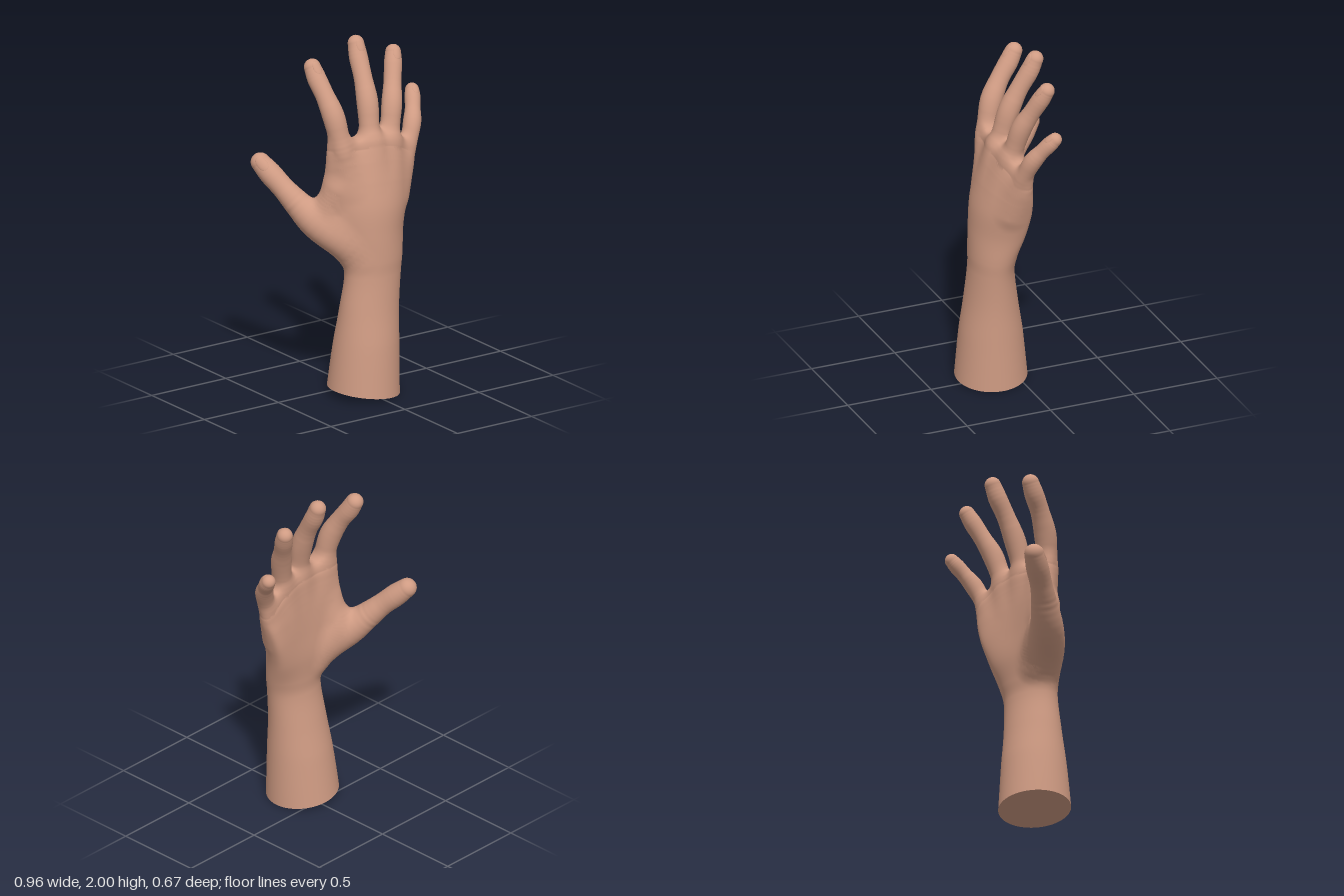
import * as THREE from 'three';

const V = (x, y, z) => new THREE.Vector3(x, y, z);
const { lerp, clamp, smoothstep } = THREE.MathUtils;
const skin = new THREE.MeshStandardMaterial({ color: 0xcf9b83 });
skin.name = 'skin';
const BLEND = 0.07;

// Forearm and palm rows: [y, x min, x max, z palm side, z back side, arch]
const ARM = [
  [0.00, -0.220, 0.180, -0.070, 0.335, 0],
  [0.30, -0.190, 0.180, -0.035, 0.315, 0],
  [0.50, -0.165, 0.183, 0.000, 0.292, 0],
  [0.70, -0.142, 0.200, 0.033, 0.277, 0.005],
  [0.80, -0.152, 0.220, 0.030, 0.277, 0.02],
  [0.95, -0.195, 0.255, 0.018, 0.272, 0.06],
  [1.10, -0.220, 0.298, 0.022, 0.262, 0.08],
  [1.25, -0.222, 0.325, 0.028, 0.230, 0.07],
  [1.36, -0.212, 0.335, 0.038, 0.196, 0.05],
  [1.43, -0.195, 0.330, 0.050, 0.168, 0.04],
  [1.465, -0.150, 0.285, 0.085, 0.143, 0.03],
  [1.475, 0.060, 0.062, 0.113, 0.115, 0],
];

// Smooth stack of cross-sections through the rows
const armA = new THREE.CatmullRomCurve3(ARM.map(r => V(r[0], r[1], r[2])));
const armB = new THREE.CatmullRomCurve3(ARM.map(r => V(r[3], r[4], r[5])), false, 'catmullrom');
const sections = Array.from({ length: 78 }, (_, i) => {
  const a = armA.getPoint(i / 77), b = armB.getPoint(i / 77);
  return {
    y: a.x, cx: (a.y + a.z) / 2, hw: (a.z - a.y) / 2, cz: (b.x + b.y) / 2, hd: (b.y - b.x) / 2, arch: b.z,
    e: 1 - 0.15 * smoothstep(a.x, 0.7, 1.2),
  };
});

// The knuckle line falls toward the little finger
const droop = (x, y) => smoothstep(y, 1.0, 1.44) * 1.5 * Math.max(0, x - 0.05) ** 2;

// A digit runs from a root inside the palm to the tip, as a chain of tapering beads
function digit(name, back, radii, points) {
  const path = new THREE.CatmullRomCurve3(points.map(p => V(...p)));
  const size = new THREE.CatmullRomCurve3(radii.map((r, i) => V(r, 0, i * 0.1)));
  const beads = Array.from({ length: 25 }, (_, i) => ({ c: path.getPoint(i / 24), r: size.getPoint(i / 24).x }));
  return { name, back, path, size, beads };
}

// Fingers share one profile: root, knuckle, and swellings at the joints
const PROFILE = [0.045, 0.064, 0.058, 0.062, 0.053, 0.054, 0.047];
const finger = (name, scale, points) =>
  digit(name, V(0, 0.35, 1).normalize(), PROFILE.map(r => r * scale), points);
const THUMB_BACK = V(-0.58, 0.38, 0.73).normalize();

const index = finger('indexFinger', 1, [[-0.1, 1.2, 0.13], [-0.138, 1.4, 0.108], [-0.155, 1.5, 0.092],
  [-0.172, 1.62, 0.062], [-0.19, 1.73, 0.004], [-0.202, 1.81, -0.052], [-0.208, 1.872, -0.088]]);
const middle = finger('middleFinger', 0.97, [[0.03, 1.2, 0.14], [0.042, 1.42, 0.115], [0.048, 1.53, 0.092],
  [0.06, 1.66, 0.057], [0.07, 1.78, 0.002], [0.08, 1.88, -0.055], [0.086, 1.953, -0.088]]);
const ring = finger('ringFinger', 0.93, [[0.13, 1.18, 0.13], [0.18, 1.4, 0.1], [0.198, 1.5, 0.082],
  [0.228, 1.62, 0.054], [0.263, 1.72, 0.01], [0.297, 1.81, -0.032], [0.316, 1.865, -0.058]]);
const little = finger('littleFinger', 0.82, [[0.23, 1.1, 0.12], [0.29, 1.3, 0.088], [0.335, 1.4, 0.072],
  [0.37, 1.48, 0.047], [0.4, 1.54, 0.01], [0.425, 1.59, -0.027], [0.44, 1.622, -0.053]]);
const thumb = digit('thumb', THUMB_BACK, [0.06, 0.088, 0.092, 0.074, 0.062, 0.063, 0.054],
  [[-0.05, 0.8, 0.15], [-0.15, 0.9, 0.1], [-0.245, 1, 0.005], [-0.312, 1.1, -0.085],
    [-0.358, 1.18, -0.155], [-0.395, 1.25, -0.222], [-0.424, 1.308, -0.278]]);
const ballOfThumb = digit('ballOfThumb', THUMB_BACK, [0.065, 0.085, 0.075, 0.055],
  [[-0.08, 0.86, 0.1], [-0.14, 0.97, 0.07], [-0.18, 1.07, 0.045], [-0.165, 1.2, 0.09]]);
const nailed = [index, middle, ring, little, thumb];
const digits = [...nailed, ballOfThumb];

// Distance to the forearm and palm
function armDistance(p) {
  const top = p.y + droop(p.x, p.y + droop(p.x, p.y));
  const y = clamp(top, 0, 1.43);
  let i = 0;
  while (i < sections.length - 2 && sections[i + 1].y < y) i++;
  const a = sections[i], b = sections[i + 1], t = clamp((y - a.y) / (b.y - a.y), 0, 1);
  const m = k => lerp(a[k], b[k], t);
  const dx = p.x - m('cx'), u = Math.abs(dx / m('hw'));
  const dz = p.z - m('cz') + m('arch') * Math.min(u * u, 1.5), v = Math.abs(dz / m('hd'));
  const q = 2 / m('e'), k = Math.max((u ** q + v ** q) ** (1 / q), 0.05);
  const side = Math.hypot(dx, dz) * (1 - 1 / k);
  return -blend(-side, 1.468 - top, 0.06);
}

// Distance to a chain of beads
function digitDistance(p, beads) {
  let best = Infinity;
  for (let i = 0; i < beads.length - 1; i++) {
    const a = beads[i].c, b = beads[i + 1].c;
    const bx = b.x - a.x, by = b.y - a.y, bz = b.z - a.z, x = p.x - a.x, y = p.y - a.y, z = p.z - a.z;
    const h = clamp((x * bx + y * by + z * bz) / (bx * bx + by * by + bz * bz), 0, 1);
    const d = Math.sqrt((x - bx * h) ** 2 + (y - by * h) ** 2 + (z - bz * h) ** 2);
    best = Math.min(best, d - lerp(beads[i].r, beads[i + 1].r, h));
  }
  return best;
}

// Rounded joining of two distances, and the whole skin made with it
function blend(a, b, k) {
  const h = Math.max(k - Math.abs(a - b), 0);
  return Math.min(a, b) - h * h / (4 * k);
}
const skinDistance = p => digits.reduce((d, g) => blend(d, digitDistance(p, g.beads), BLEND), armDistance(p));

function gradient(p, f) {
  const e = 0.002;
  return V(skinDistance(V(p.x + e, p.y, p.z)) - f, skinDistance(V(p.x, p.y + e, p.z)) - f,
    skinDistance(V(p.x, p.y, p.z + e)) - f).divideScalar(e);
}

// Draws a point onto the blended skin, or to a small height above it
function settle(p, height = 0) {
  for (let i = 0; i < 5; i++) {
    const f = skinDistance(p), g = gradient(p, f);
    p.sub(g.multiplyScalar((f - height) / Math.max(g.lengthSq(), 0.2)).clampLength(0, 0.02));
  }
}

// Surface through closed rings, counter-clockwise about their axis, settled onto the skin where near it
function skinOver(rings, settled = true) {
  const n = rings[0].length, pts = rings.flat(), idx = [];
  for (let i = 0; i < rings.length - 1; i++) {
    for (let j = 0; j < n; j++) {
      const a = i * n + j, b = i * n + (j + 1) % n;
      idx.push(a, b, a + n, b, b + n, a + n);
    }
  }
  const near = pts.map(p => settled && p.y > 0.55 && skinDistance(p) > -0.035);
  pts.forEach((p, i) => near[i] && settle(p));
  const g = new THREE.BufferGeometry().setFromPoints(pts);
  g.setIndex(idx);
  g.computeVertexNormals();
  pts.forEach((p, i) => {
    if (!near[i]) return;
    const d = gradient(p, skinDistance(p)).normalize();
    g.attributes.normal.setXYZ(i, d.x, d.y, d.z);
  });
  return g;
}

function part(name, geometry) {
  const m = new THREE.Mesh(geometry, skin);
  m.name = name;
  return m;
}

// Circular rings along a digit, closed by a dome
function digitRings({ path, size, back }) {
  return Array.from({ length: 53 }, (_, i) => {
    const t = Math.min(i / 44, 1), dome = Math.max(i - 44, 0) / 8 * Math.PI / 2;
    const T = path.getTangent(t), S = back.clone().cross(T).normalize(), D = T.clone().cross(S);
    const r = size.getPoint(t).x, w = r * Math.max(Math.cos(dome), 0.001);
    const c = path.getPoint(t).addScaledVector(T, r * Math.sin(dome));
    return Array.from({ length: 28 }, (_, j) => {
      const a = j / 28 * Math.PI * 2;
      return c.clone().addScaledVector(S, w * Math.cos(a)).addScaledVector(D, w * Math.sin(a));
    });
  });
}

// Thin nail hugging the back of the tip
function nailGeometry({ path, size, back }) {
  const T = path.getTangent(0.97), X = T.clone().cross(back).normalize(), D = X.clone().cross(T);
  const r = size.getPoint(0.97).x, c = path.getPoint(0.97).addScaledVector(D, r);
  const g = new THREE.SphereGeometry(1, 24, 16), pos = g.attributes.position;
  for (let i = 0; i < pos.count; i++) {
    const s = V(0, 0, 0).fromBufferAttribute(pos, i);
    const p = c.clone().addScaledVector(X, s.x * r * 0.62).addScaledVector(T, s.y * r * 0.85);
    settle(p, 0.004 * s.z - 0.001);
    pos.setXYZ(i, p.x, p.y, p.z);
  }
  g.computeVertexNormals();
  return g;
}

// Forearm and palm rings; the cut end is slanted
function armRings() {
  return sections.map(s => Array.from({ length: 96 }, (_, j) => {
    const t = j / 96 * Math.PI * 2, c = Math.cos(t), n = Math.sin(t);
    const u = -Math.sign(c) * Math.abs(c) ** s.e;
    const x = s.cx + s.hw * u;
    const z = s.cz + s.hd * Math.sign(n) * Math.abs(n) ** s.e - s.arch * u * u;
    const slant = (1 - smoothstep(s.y, 0, 0.5)) * (0.026 - 0.12 * (x + 0.02) - 0.03 * (z - 0.13));
    return V(x, s.y - droop(x, s.y) + slant, z);
  }));
}

export function createModel() {
  const hand = new THREE.Group();
  hand.name = 'hand';
  const rings = armRings(), rim = rings[0].map(p => p.clone());
  const mid = rim.reduce((s, p) => s.add(p), V(0, 0, 0)).divideScalar(rim.length);
  hand.add(part('forearmAndPalm', skinOver(rings)));
  hand.add(part('forearmEnd', skinOver([rim.map(() => mid.clone()), rim], false)));
  digits.forEach(d => hand.add(part(d.name, skinOver(digitRings(d)))));
  nailed.forEach(d => hand.add(part(d.name + 'Nail', nailGeometry(d))));
  return hand;
}
